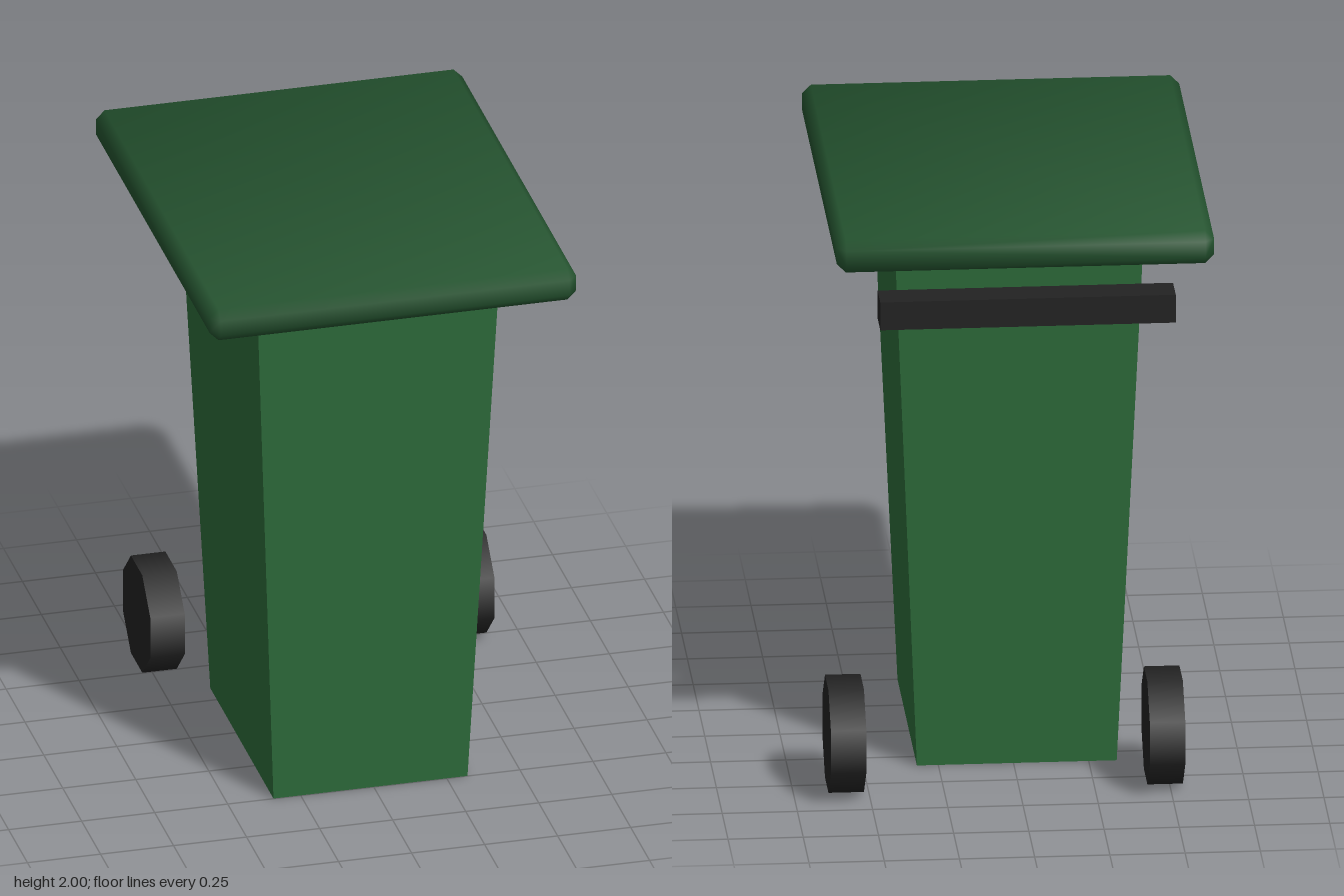
import * as THREE from 'three';
import { ConvexGeometry } from 'three/addons/geometries/ConvexGeometry.js';

// Box with one chamfer on every edge and softly blended normals
function chamferedBox(w, h, d, bevel) {
  const half = [w / 2, h / 2, d / 2];
  const points = [];
  for (let axis = 0; axis < 3; axis++)
    for (const sx of [-1, 1])
      for (const sy of [-1, 1])
        for (const sz of [-1, 1]) {
          const p = [sx, sy, sz].map((s, i) => s * (half[i] - (i === axis ? 0 : bevel)));
          points.push(new THREE.Vector3(...p));
        }
  const geometry = new ConvexGeometry(points);
  const pos = geometry.attributes.position;
  const normal = geometry.attributes.normal;
  // Each corner normal leans mostly along the face it lies on
  for (let v = 0; v < pos.count; v++) {
    const n = half.map((size, i) => {
      const c = pos.getComponent(v, i);
      return Math.sign(c) * (Math.abs(Math.abs(c) - size) < 1e-4 ? 0.876 : 0.342);
    });
    normal.setXYZ(v, ...n);
  }
  return geometry;
}

// Box whose bottom is narrower than its top
function taperedBox(w, h, d, taper) {
  const geometry = new THREE.BoxGeometry(w, h, d);
  const pos = geometry.attributes.position;
  for (let v = 0; v < pos.count; v++)
    if (pos.getY(v) < 0) pos.setXYZ(v, pos.getX(v) * taper, pos.getY(v), pos.getZ(v) * taper);
  geometry.computeVertexNormals();
  return geometry;
}

export function createModel() {
  const group = new THREE.Group();
  group.name = 'wheeledBin';

  const material = (name, color) => {
    const m = new THREE.MeshStandardMaterial({ color });
    m.name = name;
    return m;
  };
  const bodyGreen = material('bodyGreen', 0x2d6b3a);
  const lidGreen = material('lidGreen', 0x24532f);
  const black = material('blackPlastic', 0x222222);

  const add = (name, geometry, mat, x, y, z) => {
    const mesh = new THREE.Mesh(geometry, mat);
    mesh.name = name;
    mesh.position.set(x, y, z);
    group.add(mesh);
  };

  const midX = -0.011;

  // Tapered container and overhanging lid
  add('body', taperedBox(0.826, 1.863, 1.04, 0.804), bodyGreen, midX, 0.9345, 0.081);
  add('lid', chamferedBox(1.254, 0.115, 1.567, 0.03), lidGreen, midX, 1.9425, 0.0425);

  // Grip bar behind the rim
  add('handle', new THREE.BoxGeometry(0.982, 0.098, 0.117), black, midX, 1.767, -0.763);

  // Eight-sided wheels at the back
  const wheel = new THREE.CylinderGeometry(0.196, 0.196, 0.118, 8);
  wheel.rotateY(Math.PI / 8).rotateZ(Math.PI / 2);
  add('leftWheel', wheel, black, 0.578, 0.2, -0.547);
  add('rightWheel', wheel, black, -0.482, 0.2, -0.547);

  return group;
}
